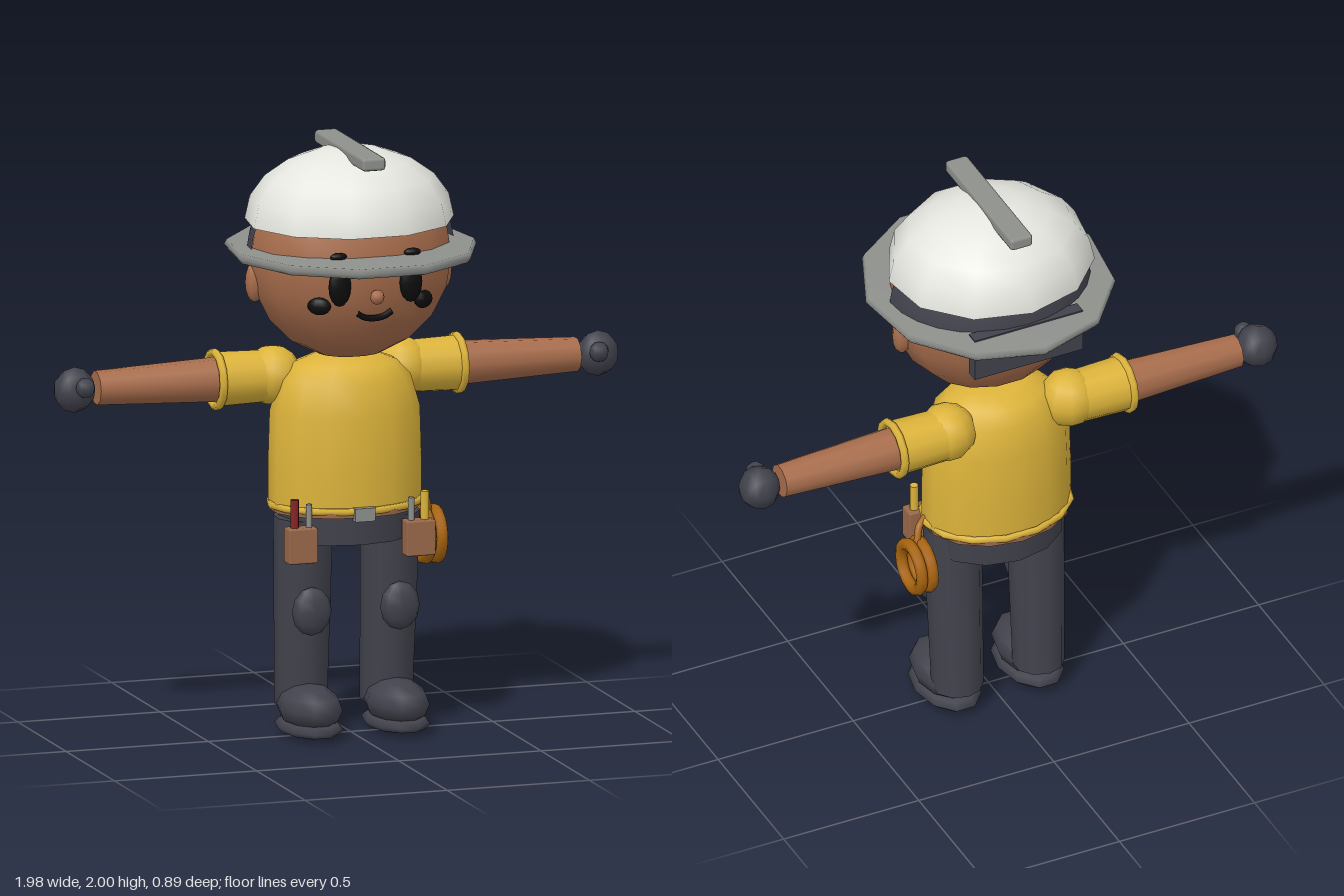
import * as THREE from 'three';
import { RoundedBoxGeometry } from 'three/addons/geometries/RoundedBoxGeometry.js';

const V = (x, y, z) => new THREE.Vector3(x, y, z);
const paint = (name, color) => {
  const m = new THREE.MeshStandardMaterial({ color });
  m.name = name;
  return m;
};

export function createModel() {
  const model = new THREE.Group();
  model.name = 'worker';

  const yellow = paint('shirt yellow', 0xdcb33a);
  const skin = paint('skin brown', 0xa86d4c);
  const dark = paint('trouser charcoal', 0x42424d);
  const white = paint('helmet white', 0xe6e6e0);
  const gray = paint('metal gray', 0x8e908c);
  const black = paint('face black', 0x0c0c0c);
  const leather = paint('leather brown', 0x99684a);
  const rope = paint('rope orange', 0xa8640f);
  const red = paint('handle red', 0x8a2424);
  dark.side = THREE.DoubleSide;

  const add = (name, geo, mat, pos = [0, 0, 0], scale = [1, 1, 1], rot = [0, 0, 0]) => {
    const m = new THREE.Mesh(geo, mat);
    m.name = name;
    m.position.set(...pos);
    m.scale.set(...scale);
    m.rotation.set(...rot);
    model.add(m);
    return m;
  };
  const ball = (name, mat, pos, radii, w = 10, h = 8, rot) =>
    add(name, new THREE.SphereGeometry(1, w, h), mat, pos, radii, rot);
  const lathe = (pts, sides) =>
    new THREE.LatheGeometry(pts.map(p => new THREE.Vector2(...p)), sides);
  // tapered round bar between two points
  const bar = (name, mat, a, b, ra, rb, sides = 10) => {
    const d = b.clone().sub(a);
    const m = add(name, new THREE.CylinderGeometry(rb, ra, d.length(), sides), mat);
    m.position.copy(a).addScaledVector(d, 0.5);
    m.quaternion.setFromUnitVectors(V(0, 1, 0), d.normalize());
    return m;
  };

  // Head
  const headC = [0, 1.625, -0.005], headR = [0.35, 0.35, 0.278];
  ball('head', skin, headC, headR, 14, 10);
  const faceZ = (x, y) => headC[2] + headR[2] *
    Math.sqrt(Math.max(0, 1 - (x / headR[0]) ** 2 - ((y - headC[1]) / headR[1]) ** 2));

  // Hair: rear shell and nape plate
  add('hair', new THREE.SphereGeometry(1, 14, 6, Math.PI, Math.PI, 0.7, 0.77), dark,
    [0, 1.625, 0.02], [0.358, 0.358, 0.325]);
  add('napeHair', new THREE.BoxGeometry(0.4, 0.16, 0.045), dark, [0, 1.592, -0.287]);

  // Helmet: dome, wide brim and ridge
  const domePts = [[0, 0], [0.99, 0]];
  for (let i = 0; i <= 5; i++) {
    const a = i / 5 * Math.PI / 2;
    domePts.push([Math.cos(a), Math.sin(a) * 0.25 + 0.001]);
  }
  add('helmetDome', lathe(domePts, 11), white, [0, 1.74, -0.011], [0.355, 1, 0.325], [0, Math.PI, 0]);
  add('helmetBrim', lathe([[0, 0], [0.97, 0], [1, 0.017], [0.98, 0.034], [0, 0.034]], 11), gray,
    [0, 1.633, 0.009], [0.422, 1, 0.454], [0, Math.PI, 0]);
  add('helmetRidge', new RoundedBoxGeometry(0.083, 0.045, 0.51, 1, 0.012), gray, [0, 1.9775, -0.005]);

  // Face
  for (const s of [-1, 1]) {
    ball('ear', skin, [s * 0.33, 1.55, -0.02], [0.034, 0.07, 0.036], 8, 8);
    ball('eye', black, [s * 0.125, 1.573, faceZ(0.125, 1.573) + 0.006], [0.04, 0.068, 0.02]);
    ball('eyebrow', black, [s * 0.13, 1.675, faceZ(0.13, 1.675) + 0.008], [0.03, 0.014, 0.015]);
    ball('cheek', black, [s * 0.183, 1.502, faceZ(0.183, 1.502) + 0.004], [0.04, 0.03, 0.02], 10, 8,
      [0, s * 0.5, 0]);
  }
  ball('nose', skin, [0, 1.533, 0.277], [0.025, 0.025, 0.025], 8, 6);
  const smile = [[-0.062, 1.477], [-0.035, 1.46], [0, 1.455], [0.035, 1.46], [0.062, 1.477]]
    .map(([x, y]) => V(x, y, faceZ(x, y) + 0.004));
  add('mouth', new THREE.TubeGeometry(new THREE.CatmullRomCurve3(smile), 10, 0.011, 6), black);

  // Torso, hem, belt and hips
  const bodyZ = -0.06;
  add('shirt', lathe([[0, 0.77], [0.99, 0.77], [1, 0.78], [1, 0.92], [0.98, 1.09], [0.86, 1.2],
    [0.68, 1.25], [0.4, 1.28], [0, 1.285]], 14), yellow, [0, 0, bodyZ], [0.262, 1, 0.192]);
  add('shirtHem', new THREE.TorusGeometry(1, 0.05, 6, 14), yellow, [0, 0.777, bodyZ],
    [0.258, 0.2, 0.3], [Math.PI / 2, 0, 0]);
  add('belt', new THREE.CylinderGeometry(1, 1, 0.018, 14), leather, [0, 0.764, bodyZ], [0.258, 1, 0.205]);
  // hem is rotated flat, so its local y runs along depth and its local z is height
  model.getObjectByName('shirtHem').scale.set(0.258, 0.2, 0.26);
  add('beltBuckle', new THREE.BoxGeometry(0.07, 0.045, 0.025), gray, [0, 0.767, 0.142]);
  add('hips', new THREE.CylinderGeometry(1, 0.97, 0.11, 12), dark, [0, 0.713, bodyZ], [0.235, 1, 0.185]);

  for (const s of [-1, 1]) {
    // Leg, knee pad and boot
    bar('leg', dark, V(s * 0.15, 0.09, -0.074), V(s * 0.153, 0.74, -0.04), 0.088, 0.1, 10);
    ball('kneePad', dark, [s * 0.155, 0.43, 0.055], [0.07, 0.083, 0.032], 8, 6);
    ball('boot', dark, [s * 0.153, 0.1, 0.025], [0.105, 0.078, 0.16], 10, 6);
    ball('bootSole', dark, [s * 0.153, 0.034, 0.018], [0.108, 0.034, 0.172], 10, 6);

    // Arm, sleeve and hand
    const at = (x, y = 1.197, z = -0.15) => V(s * x, y, z);
    ball('shoulder', yellow, [s * 0.225, 1.2, -0.145], [0.1, 0.1, 0.1], 10, 8);
    bar('sleeve', yellow, at(0.2), at(0.425), 0.088, 0.094, 12);
    add('sleeveCuff', new THREE.TorusGeometry(0.092, 0.014, 6, 12), yellow,
      [s * 0.425, 1.197, -0.15], [1, 1, 1], [0, Math.PI / 2, 0]);
    bar('arm', skin, at(0.4), at(0.845), 0.076, 0.058, 10);
    ball('hand', dark, [s * 0.92, 1.195, -0.15], [0.078, 0.07, 0.07], 8, 6, [0, 0, Math.PI / 2]);
    ball('thumb', dark, [s * 0.903, 1.213, -0.085], [0.034, 0.034, 0.034], 8, 6);

    // Tool pouch with two tools
    add('pouch', new RoundedBoxGeometry(0.102, 0.12, 0.06, 1, 0.006), leather, [s * 0.207, 0.668, 0.097]);
    bar('toolHandle', s < 0 ? red : yellow, V(s * 0.229, 0.7, 0.095), V(s * 0.229, 0.823, 0.095), 0.015, 0.015, 8);
    bar('toolShaft', gray, V(s * 0.18, 0.7, 0.1), V(s * 0.18, 0.805, 0.1), 0.011, 0.011, 8);
  }

  // Rope coil hanging from the belt
  for (const x of [0.285, 0.325])
    add('ropeCoil', new THREE.TorusGeometry(0.08, 0.021, 8, 16), rope,
      [x, 0.635, -0.085], [1, 1, 1], [0, Math.PI / 2, 0]);
  const loop = new THREE.CatmullRomCurve3([V(0.25, 0.785, -0.035), V(0.28, 0.765, -0.05), V(0.3, 0.71, -0.075)]);
  add('ropeLoop', new THREE.TubeGeometry(loop, 8, 0.013, 6), rope);

  return model;
}
